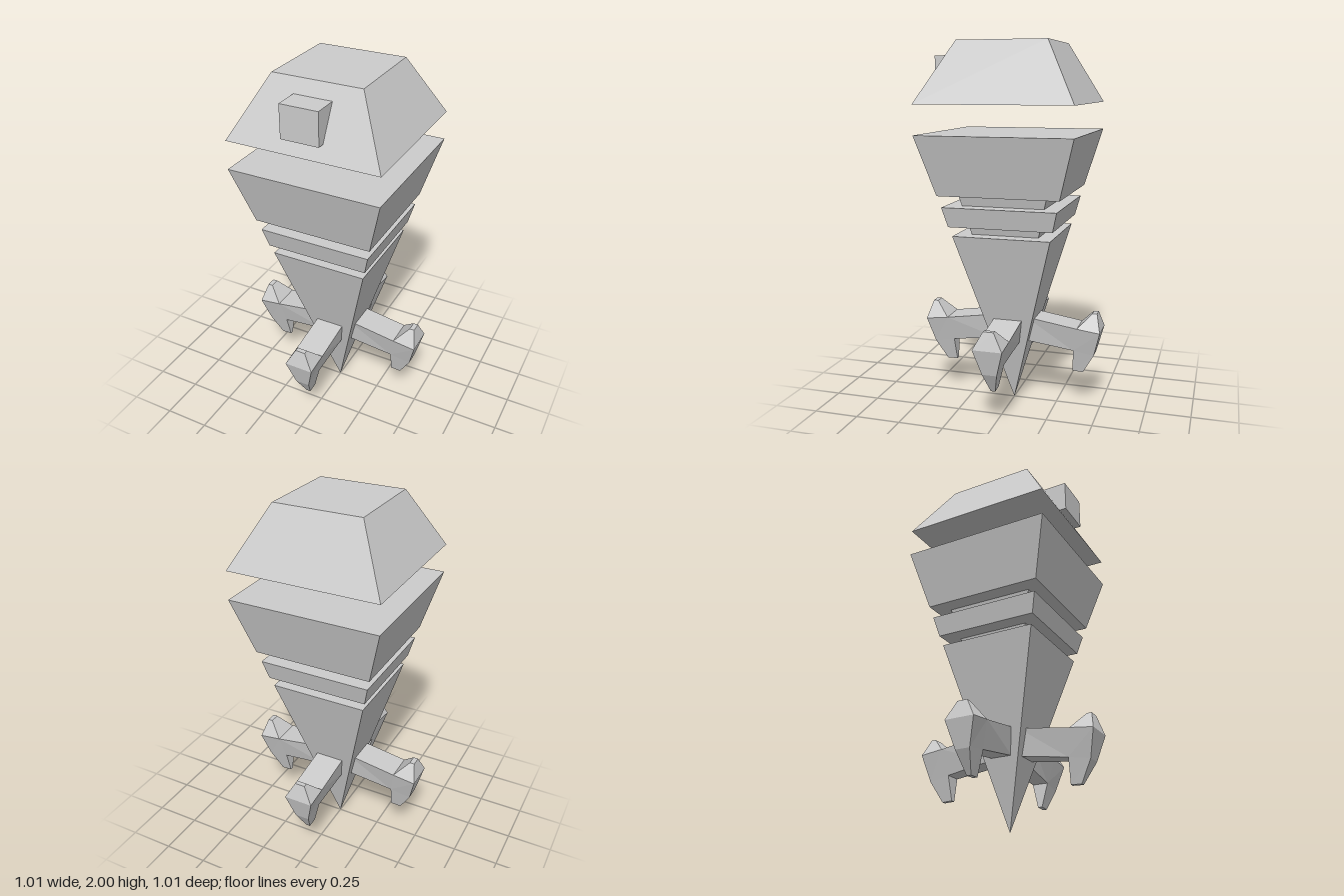
import * as THREE from 'three';

const material = new THREE.MeshStandardMaterial({ color: 0xcccccc, flatShading: true });

function addMesh(parent, name, geometry) {
  const mesh = new THREE.Mesh(geometry, material);
  mesh.name = name;
  parent.add(mesh);
  return mesh;
}

// Square frustum between two heights, given half widths
function frustum(y0, half0, y1, half1) {
  const g = new THREE.CylinderGeometry(half1 * Math.SQRT2, half0 * Math.SQRT2, y1 - y0, 4);
  g.rotateY(Math.PI / 4);
  g.translate(0, (y0 + y1) / 2, 0);
  return g;
}

// Closed solid through four-cornered sections
function loft(sections) {
  const pos = [];
  const quad = (a, b, c, d) => pos.push(...a, ...b, ...c, ...a, ...c, ...d);
  for (let s = 0; s < sections.length - 1; s++) {
    const A = sections[s], B = sections[s + 1];
    for (let i = 0; i < 4; i++) {
      const j = (i + 1) % 4;
      quad(A[i], A[j], B[j], B[i]);
    }
  }
  const first = sections[0], last = sections[sections.length - 1];
  quad(first[3], first[2], first[1], first[0]);
  quad(last[0], last[1], last[2], last[3]);
  const g = new THREE.BufferGeometry();
  g.setAttribute('position', new THREE.Float32BufferAttribute(pos, 3));
  g.computeVertexNormals();
  return g;
}

// Section from two [x, y, halfWidth] edges, mirrored across z
const section = ([x0, y0, w0], [x1, y1, w1]) =>
  [[x0, y0, w0], [x1, y1, w1], [x1, y1, -w1], [x0, y0, -w0]];

// Section across the arm, from its lower to its upper edge
const armSection = ([x0, y0, w0], [x1, y1, w1]) =>
  [[x0, y0, w0], [x0, y0, -w0], [x1, y1, -w1], [x1, y1, w1]];

export function createModel() {
  const model = new THREE.Group();
  model.name = 'hoveringTotem';

  // Stacked body: name, lower y, lower half width, upper y, upper half width
  const body = [
    ['spike', 0, 0, 0.985, 0.267],
    ['lowerNeck', 0.98, 0.183, 1.04, 0.2],
    ['collar', 1.037, 0.283, 1.145, 0.31],
    ['upperNeck', 1.14, 0.223, 1.21, 0.242],
    ['upperBody', 1.207, 0.327, 1.525, 0.415],
    ['floatingHead', 1.68, 0.415, 2, 0.241],
  ];
  for (const [name, ...dims] of body) addMesh(model, name, frustum(...dims));

  // Eye block set into the front of the head
  addMesh(model, 'eye', new THREE.BoxGeometry(0.205, 0.175, 0.19)).position.set(0, 1.842, 0.318);

  // Four clawed arms around the spike
  const inner = [0.376, 0.468, 0.08], outer = [0.503, 0.452, 0.08];
  const elbow = [0.35, 0.33, 0.045];
  const armGeometry = loft([
    armSection([0.09, 0.368, 0.057], [0.09, 0.512, 0.08]),
    armSection(elbow, inner),
  ]);
  const clawGeometry = loft([
    section([0.344, 0.2, 0.012], [0.402, 0.197, 0.012]),
    section(elbow, [0.466, 0.31, 0.04]),
    section(inner, outer),
    section([0.452, 0.547, 0.028], [0.478, 0.547, 0.028]),
  ]);
  ['left', 'back', 'right', 'front'].forEach((side, i) => {
    const limb = new THREE.Group();
    limb.name = side + 'Limb';
    addMesh(limb, side + 'Arm', armGeometry);
    addMesh(limb, side + 'Claw', clawGeometry);
    limb.rotation.y = i * Math.PI / 2;
    model.add(limb);
  });

  return model;
}
